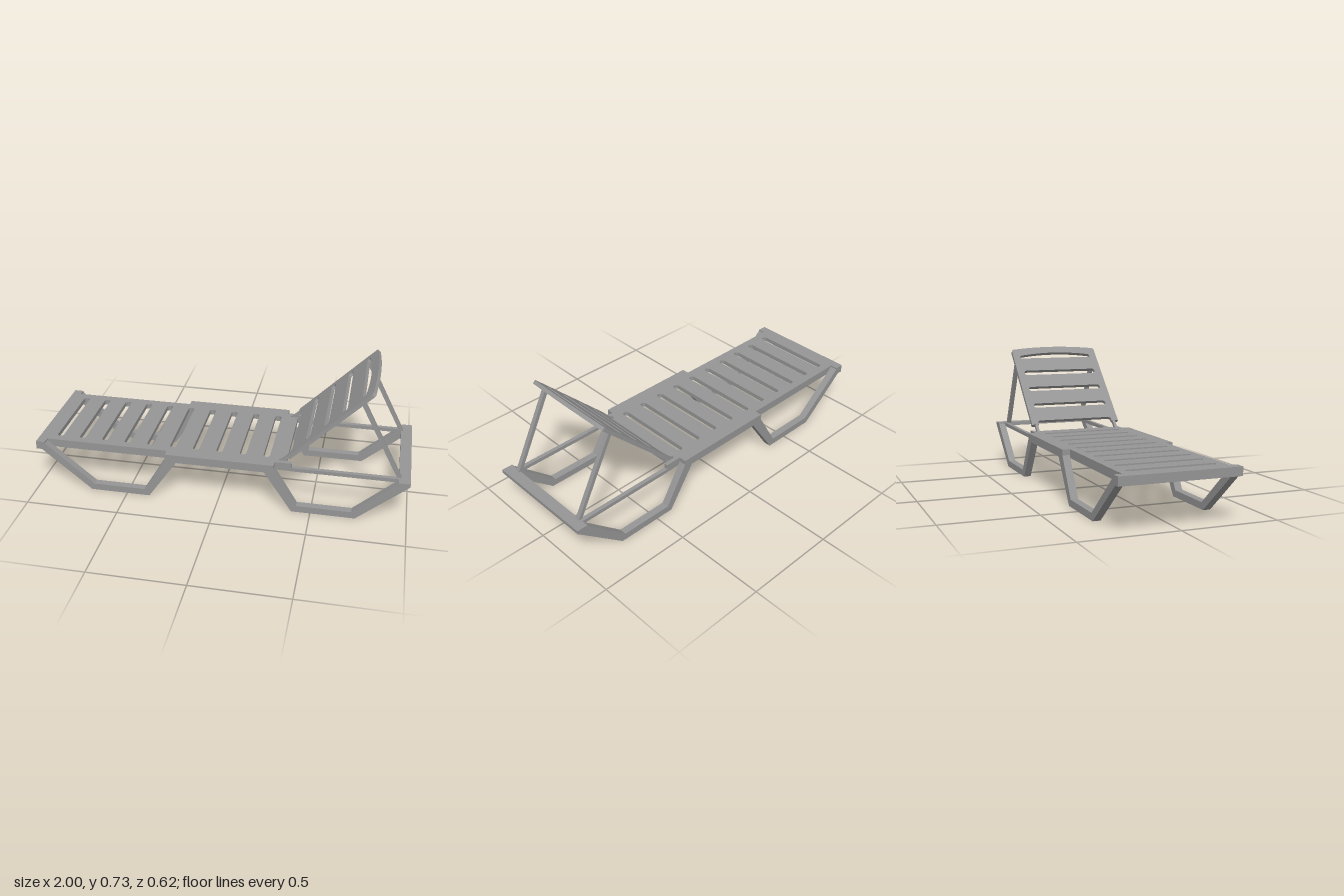
import * as THREE from 'three';

const grey = new THREE.MeshStandardMaterial({ color: 0x959595 });
grey.name = 'grey plastic';

const polygon = (points) => new THREE.Shape(points.map(([x, y]) => new THREE.Vector2(x, y)));

function add(parent, name, geometry) {
  const mesh = new THREE.Mesh(geometry, grey);
  mesh.name = name;
  parent.add(mesh);
  return mesh;
}

const extrude = (shape, depth) =>
  new THREE.ExtrudeGeometry(shape, { depth, bevelEnabled: false, curveSegments: 8 });

// Box given by its minimum and maximum on each axis
function box(parent, name, x0, x1, y0, y1, z0, z1) {
  const mesh = add(parent, name, new THREE.BoxGeometry(x1 - x0, y1 - y0, z1 - z0));
  mesh.position.set((x0 + x1) / 2, (y0 + y1) / 2, (z0 + z1) / 2);
  return mesh;
}

// Round-ended slot running across the width
function slot(x0, x1, half) {
  const r = (x1 - x0) / 2, cx = (x0 + x1) / 2;
  const path = new THREE.Path();
  path.absarc(cx, half - r, r, 0, Math.PI, false);
  path.absarc(cx, -half + r, r, Math.PI, Math.PI * 2, false);
  path.closePath();
  return path;
}

// Mirrors half an outline (y > 0) to close it symmetrically
const mirrored = (half) => [...half, ...half.map(([x, y]) => [x, -y]).reverse()];

function createDeck() {
  const deck = new THREE.Group();
  deck.name = 'deck';
  // Slatted plate, notched where the leg loops pass and slit for the hinges
  const shape = polygon(mirrored([
    [0.36, 0.228], [0.32, 0.232], [0.32, 0.247], [0.39, 0.25], [0.39, 0.27], [0.30, 0.27],
    [0.30, 0.31], [-0.28, 0.31], [-0.28, 0.27], [-0.95, 0.27], [-0.95, 0.31], [-1, 0.31],
  ]).reverse());
  for (let i = 0; i < 10; i++) {
    const x = -0.893 + i * 0.127;
    shape.holes.push(slot(x - 0.017, x + 0.017, 0.227));
  }
  const plate = add(deck, 'deckPlate', extrude(shape, 0.025));
  plate.rotation.x = -Math.PI / 2;
  plate.position.y = 0.245;
  // Rim below the plate
  box(deck, 'footRim', -1, -0.95, 0.225, 0.246, -0.31, 0.31);
  for (const s of [-1, 1]) {
    const rim = (name, x0, x1, a, b) =>
      box(deck, name, x0, x1, 0.225, 0.246, Math.min(s * a, s * b), Math.max(s * a, s * b));
    rim('sideRim', -0.95, 0.39, 0.25, 0.27);
    rim('middleRim', -0.28, 0.30, 0.27, 0.31);
  }
  return deck;
}

function createBackrest() {
  const backrest = new THREE.Group();
  backrest.name = 'backrest';
  // Panel outline with an arched head edge
  const shape = new THREE.Shape();
  shape.moveTo(0.04, -0.268);
  shape.lineTo(0.605, -0.268);
  shape.quadraticCurveTo(0.618, -0.268, 0.62, -0.255);
  shape.quadraticCurveTo(0.655, 0, 0.62, 0.255);
  shape.quadraticCurveTo(0.618, 0.268, 0.605, 0.268);
  shape.lineTo(0.04, 0.268);
  shape.lineTo(0.04, 0.228);
  shape.lineTo(0.06, 0.226);
  shape.lineTo(0.068, 0.215);
  shape.lineTo(0.068, -0.215);
  shape.lineTo(0.06, -0.226);
  shape.lineTo(0.04, -0.228);
  for (const [a, b] of [[0.163, 0.194], [0.29, 0.321], [0.414, 0.449]]) {
    shape.holes.push(slot(a, b, 0.226));
  }
  // Arched hand opening
  const grip = new THREE.Path();
  grip.moveTo(0.547, -0.215);
  grip.quadraticCurveTo(0.547, -0.226, 0.557, -0.226);
  grip.quadraticCurveTo(0.57, -0.225, 0.572, -0.205);
  grip.quadraticCurveTo(0.607, 0, 0.572, 0.205);
  grip.quadraticCurveTo(0.57, 0.225, 0.557, 0.226);
  grip.quadraticCurveTo(0.547, 0.226, 0.547, 0.215);
  grip.closePath();
  shape.holes.push(grip);
  add(backrest, 'backPanel', extrude(shape, 0.02)).rotation.x = -Math.PI / 2;
  // Hinge arms
  for (const s of [-1, 1]) {
    box(backrest, 'hingeArm', -0.015, 0.06, 0.001, 0.019, s * 0.241 - 0.008, s * 0.241 + 0.008);
  }
  backrest.position.set(0.35, 0.265, 0);
  backrest.rotation.z = Math.PI / 4;
  return backrest;
}

export function createModel() {
  const lounger = new THREE.Group();
  lounger.name = 'sunLounger';
  lounger.add(createDeck(), createBackrest());

  // Leg loops as side profiles
  const frontLeg = polygon([
    [-0.97, 0.225], [-0.70, 0], [-0.375, 0], [-0.22, 0.226], [-0.28, 0.226], [-0.28, 0.24],
    [-0.40, 0.037], [-0.685, 0.037], [-0.95, 0.262],
  ]);
  const rearLeg = polygon([
    [0.25, 0.226], [0.40, 0], [0.735, 0], [1, 0.227], [0.94, 0.24],
    [0.715, 0.037], [0.425, 0.037], [0.30, 0.245], [0.30, 0.226],
  ]);
  for (const s of [-1, 1]) {
    for (const [name, shape] of [['frontLeg', frontLeg], ['rearLeg', rearLeg]]) {
      add(lounger, name, extrude(shape, 0.04)).position.z = s * 0.29 - 0.02;
    }
    // Rear frame rails
    box(lounger, 'rearRail', 0.385, 0.945, 0.225, 0.245, s * 0.261 - 0.011, s * 0.261 + 0.011);
    // Struts propping up the backrest
    const prop = polygon([[0.93, 0.243], [0.952, 0.243], [0.742, 0.652], [0.722, 0.645]]);
    add(lounger, 'backProp', extrude(prop, 0.024)).position.z = s * 0.245 - 0.012;
  }
  // Crossbar at the head end
  box(lounger, 'headBar', 0.94, 1, 0.225, 0.245, -0.31, 0.31);
  return lounger;
}
